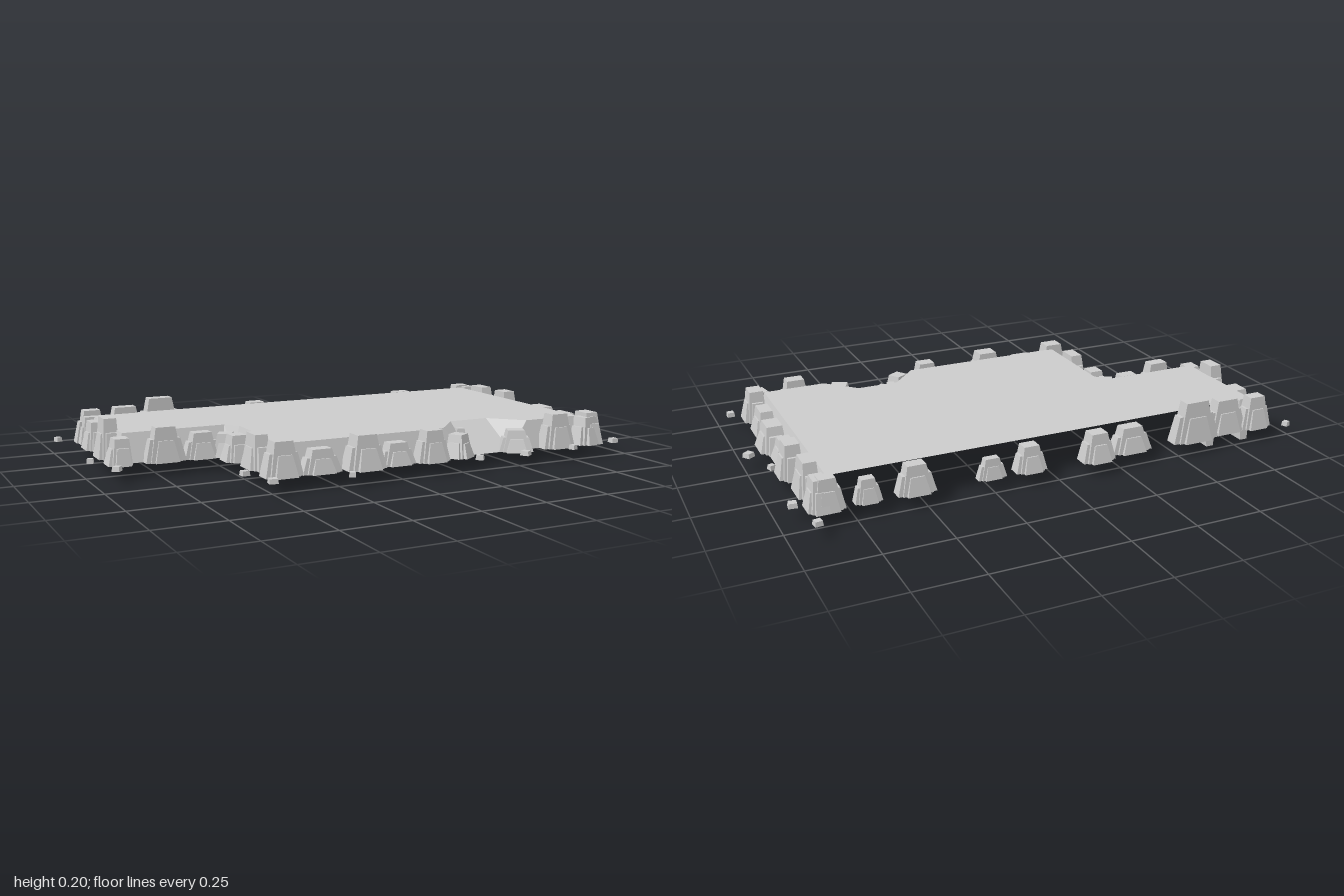
import * as THREE from 'three';

const mat = new THREE.MeshStandardMaterial({ color: 0xcccccc, flatShading: true, side: THREE.DoubleSide });
const BASE = 0.045, TOP = 0.15;

function addMesh(parent, name, geometry) {
  const mesh = new THREE.Mesh(geometry, mat);
  mesh.name = name;
  parent.add(mesh);
  return mesh;
}

// Triangulated surface from a list of quads or triangles given as corner points
function faces(list) {
  const pos = [];
  for (const f of list)
    for (let i = 1; i < f.length - 1; i++) pos.push(...f[0], ...f[i], ...f[i + 1]);
  const g = new THREE.BufferGeometry();
  g.setAttribute('position', new THREE.Float32BufferAttribute(pos, 3));
  g.computeVertexNormals();
  return g;
}

// Block standing on y = 0 whose top is narrowed; lean shifts the top in z
function taperedBlock(w, h, d, tx, tz, lean = 0) {
  const g = new THREE.BoxGeometry(w, h, d).toNonIndexed();
  const p = g.attributes.position;
  for (let i = 0; i < p.count; i++) {
    if (p.getY(i) > 0) p.setXYZ(i, p.getX(i) * tx, h, p.getZ(i) * tz + lean);
    else p.setY(i, 0);
  }
  g.computeVertexNormals();
  return g;
}

// Boulder: tall core, low shoulders on both sides and a lower slab on the outer face
function boulder(parent, name, [x, z, w, d, top, turn], angle) {
  const h = top - BASE;
  const rock = new THREE.Group();
  rock.name = name;
  addMesh(rock, 'core', taperedBlock(w * 0.84, h, d * 0.8, 0.62, 0.72, -d * 0.04));
  addMesh(rock, 'shoulders', taperedBlock(w * 1.08, h * 0.66, d * 0.62, 0.74, 0.75, -d * 0.03));
  addMesh(rock, 'outerSlab', taperedBlock(w * 0.64, h * 0.62, d * 0.5, 0.62, 0.6, -d * 0.08)).position.z = d * 0.3;
  rock.position.set(x, BASE, z);
  rock.rotation.y = angle + (turn || 0);
  parent.add(rock);
  return rock;
}

export function createModel() {
  const model = new THREE.Group();
  model.name = 'rockyPlateau';

  // Plateau rim as [x, z] at the top and at the foot, back left round to back right
  const rim = [[-0.86, -0.43], [-0.86, -0.02], [-0.47, -0.02], [-0.43, 0.03], [-0.43, 0.41], [0.22, 0.41],
    [0.32, 0.3], [0.48, 0.3], [0.59, 0.41], [0.83, 0.41], [0.83, -0.43]];
  const foot = [[-0.89, -0.43], [-0.89, 0.02], [-0.49, 0.02], [-0.46, 0.05], [-0.46, 0.44], [0.3, 0.44],
    [0.32, 0.44], [0.48, 0.44], [0.5, 0.44], [0.86, 0.44], [0.86, -0.43]];
  const shape = new THREE.Shape(rim.map(([x, z]) => new THREE.Vector2(x, -z)));
  const ground = addMesh(model, 'plateauTop', new THREE.ShapeGeometry(shape));
  ground.rotation.x = -Math.PI / 2;
  ground.position.y = TOP;

  // Sloping walls with the ramp cut in the front; the back stays open
  const wall = [], ramp = [];
  for (let i = 0; i < rim.length - 1; i++) {
    const t = (k) => [rim[k][0], TOP, rim[k][1]], b = (k) => [foot[k][0], BASE, foot[k][1]];
    (i >= 5 && i <= 7 ? ramp : wall).push([t(i), b(i), b(i + 1), t(i + 1)]);
  }
  addMesh(model, 'plateauWalls', faces(wall));
  addMesh(model, 'ramp', faces(ramp));

  // Boulders by side: x, z, width, depth, top height, extra turn
  const sides = {
    front: [0, [
      [-0.44, 0.44, 0.13, 0.1, 0.168], [-0.3, 0.45, 0.14, 0.08, 0.13], [-0.135, 0.46, 0.14, 0.11, 0.168],
      [0, 0.45, 0.13, 0.08, 0.125], [0.14, 0.46, 0.12, 0.09, 0.16], [0.27, 0.44, 0.1, 0.09, 0.13, 0.55],
      [0.52, 0.44, 0.12, 0.1, 0.125, -0.45], [0.7, 0.45, 0.13, 0.09, 0.175], [0.85, 0.44, 0.12, 0.1, 0.15, 0.2],
      [-0.72, 0.03, 0.14, 0.08, 0.172], [-0.58, 0.03, 0.13, 0.08, 0.14], [-0.49, 0.04, 0.1, 0.09, 0.13, -0.5]]],
    right: [Math.PI / 2, [
      [0.87, 0.42, 0.13, 0.09, 0.165], [0.87, 0.27, 0.16, 0.08, 0.14], [0.88, 0.11, 0.16, 0.1, 0.142],
      [0.865, -0.02, 0.14, 0.08, 0.125], [0.88, -0.15, 0.13, 0.09, 0.17], [0.865, -0.31, 0.16, 0.08, 0.17],
      [0.865, -0.44, 0.12, 0.08, 0.155]]],
    left: [-Math.PI / 2, [
      [-0.88, -0.43, 0.11, 0.07, 0.15], [-0.885, -0.31, 0.13, 0.08, 0.15], [-0.885, -0.13, 0.14, 0.08, 0.193],
      [-0.88, 0.01, 0.11, 0.09, 0.14], [-0.485, 0.13, 0.11, 0.09, 0.14], [-0.465, 0.28, 0.15, 0.08, 0.168]]],
    back: [Math.PI, [
      [-0.86, -0.46, 0.12, 0.08, 0.17], [-0.73, -0.45, 0.16, 0.08, 0.175], [-0.58, -0.47, 0.18, 0.08, 0.198],
      [-0.31, -0.46, 0.15, 0.08, 0.14], [-0.16, -0.48, 0.12, 0.09, 0.15], [0.1, -0.46, 0.11, 0.08, 0.14],
      [0.25, -0.465, 0.1, 0.05, 0.12], [0.53, -0.46, 0.13, 0.08, 0.15], [0.7, -0.46, 0.09, 0.06, 0.13],
      [0.84, -0.46, 0.11, 0.08, 0.16]]],
  };
  for (const [side, [angle, rocks]] of Object.entries(sides))
    for (const r of rocks) boulder(model, side + 'Boulder', r, angle);

  // Rock legs hanging below the back left edge
  for (const x of [-0.815, -0.66])
    addMesh(model, 'hangingRock', taperedBlock(0.03, 0.06, 0.09, 1.3, 0.9)).position.set(x, 0, -0.425);

  // Loose pebbles around the foot and on the ramp
  const pebbles = [[-0.98, -0.51], [0.9, -0.56], [0.94, -0.4], [-0.97, -0.05], [-0.92, 0.12], [0.98, 0.06],
    [0.93, -0.08], [-0.55, 0.38], [-0.51, 0.53], [-0.23, 0.56], [0.31, 0.52], [0.505, 0.53], [0.73, 0.52],
    [0.955, 0.48], [0.33, 0.35]];
  pebbles.forEach(([x, z], i) => {
    const s = [0.033, 0.024, 0.029][(i + 1) % 3];
    const p = addMesh(model, 'pebble', taperedBlock(s, 0.017, s, 0.85, 0.85));
    p.position.set(x, i === pebbles.length - 1 ? 0.115 : BASE, z);
    p.rotation.y = 0.4 + i * 1.3;
  });
  return model;
}
